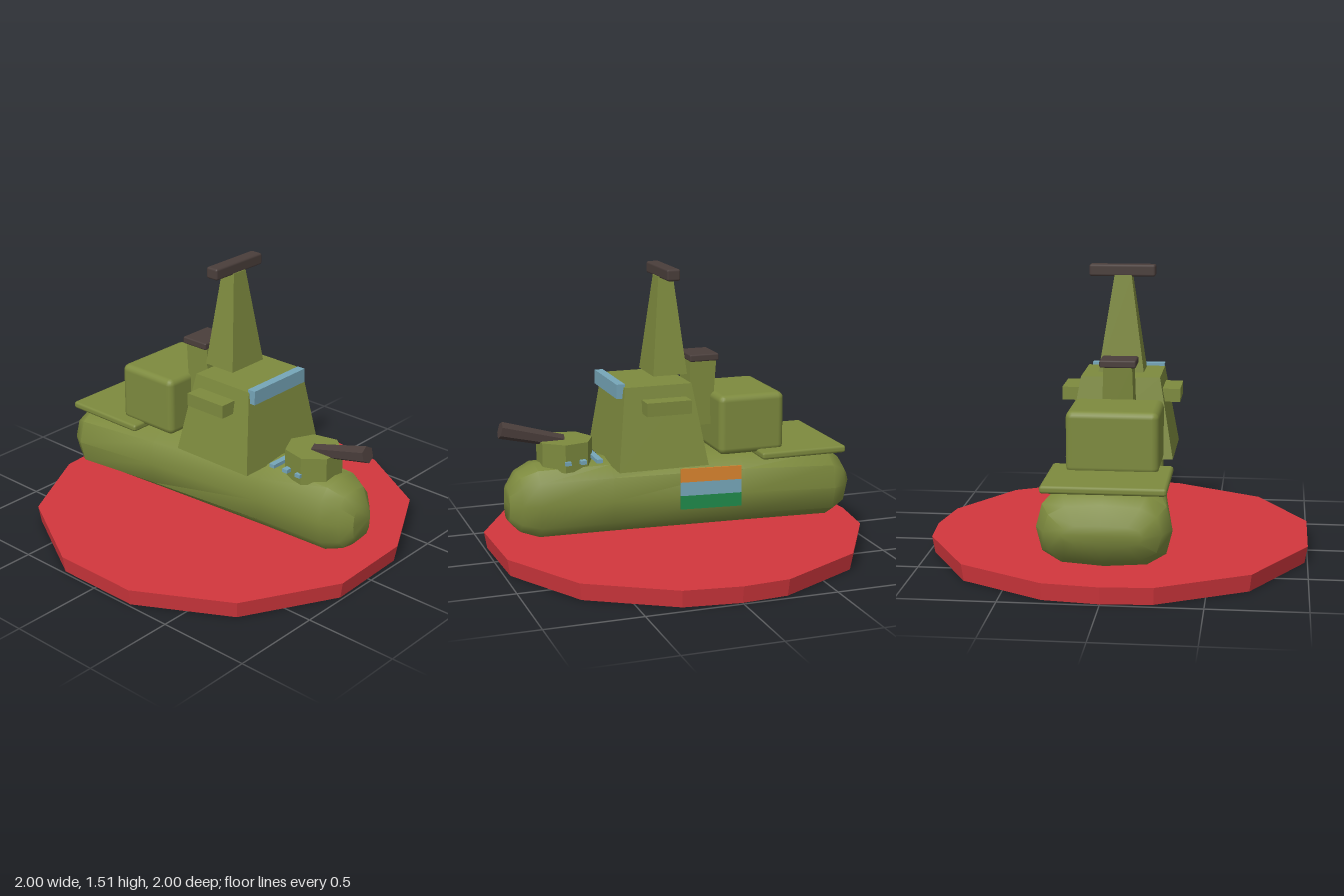
import * as THREE from 'three';
import { toCreasedNormals } from 'three/addons/utils/BufferGeometryUtils.js';
import { RoundedBoxGeometry } from 'three/addons/geometries/RoundedBoxGeometry.js';

const paint = (name, color) => Object.assign(new THREE.MeshStandardMaterial({ color }), { name });

// Tapered box: each end is [y, xMin, xMax, zMin, zMax]
function taper(bottom, top) {
  const geo = new THREE.BoxGeometry(1, 1, 1).toNonIndexed();
  const p = geo.attributes.position;
  for (let i = 0; i < p.count; i++) {
    const [y, x0, x1, z0, z1] = p.getY(i) > 0 ? top : bottom;
    p.setXYZ(i, p.getX(i) > 0 ? x1 : x0, y, p.getZ(i) > 0 ? z1 : z0);
  }
  geo.computeVertexNormals();
  return geo;
}

// Hull skin lofted through stations of [z, half width, y low, y high]
function loft(stations) {
  const quarter = [[1, 0], [0.91, 0.62], [0.63, 0.92]];
  const ring = [...quarter, [0, 1],
    ...quarter.slice(1).reverse().map(([x, y]) => [-x, y]), [-1, 0],
    ...quarter.slice(1).map(([x, y]) => [-x, -y]), [0, -1],
    ...quarter.slice(1).reverse().map(([x, y]) => [x, -y])];
  const n = ring.length, pos = [], idx = [];
  for (const [z, w, lo, hi] of stations)
    for (const [x, y] of ring) pos.push(x * w, (lo + hi) / 2 + y * (hi - lo) / 2, z);
  for (let i = 0; i < stations.length - 1; i++)
    for (let j = 0; j < n; j++) {
      const a = i * n + j, b = i * n + (j + 1) % n;
      idx.push(a, b, a + n, b, b + n, a + n);
    }
  const last = (stations.length - 1) * n;
  for (let j = 1; j < n - 1; j++) idx.push(0, j + 1, j, last, last + j, last + j + 1);
  const geo = new THREE.BufferGeometry();
  geo.setAttribute('position', new THREE.Float32BufferAttribute(pos, 3));
  geo.setIndex(idx);
  return toCreasedNormals(geo, 0.75);
}

export function createModel() {
  const model = new THREE.Group();
  model.name = 'toyWarship';
  const olive = paint('olive', 0x7d8a3e);
  const red = paint('red', 0xd2373d);
  const brown = paint('darkBrown', 0x4a3e3b);
  const blue = paint('paleBlue', 0x76a6b9);
  const orange = paint('orange', 0xd9842e);
  const green = paint('green', 0x1f8a4a);

  const add = (name, geo, mat, x = 0, y = 0, z = 0) => {
    const mesh = new THREE.Mesh(geo, mat);
    mesh.name = name;
    mesh.position.set(x, y, z);
    model.add(mesh);
    return mesh;
  };
  const box = (w, h, d) => new THREE.BoxGeometry(w, h, d);

  // Uneven faceted disc, narrower underneath
  const outline = [[0, -1], [0.29, -0.965], [0.73, -0.71], [0.98, -0.25], [1, 0], [0.96, 0.3],
    [0.7, 0.735], [0.24, 0.985], [-0.24, 1], [-0.73, 0.73], [-1, 0.25], [-1, -0.23],
    [-0.72, -0.73], [-0.26, -0.98]];
  const disc = new THREE.ExtrudeGeometry(
    new THREE.Shape(outline.map(([x, z]) => new THREE.Vector2(x, -z))),
    { depth: 0.09, bevelEnabled: false });
  disc.rotateX(-Math.PI / 2);
  const dp = disc.attributes.position;
  for (let i = 0; i < dp.count; i++)
    if (dp.getY(i) < 0.01) dp.setXYZ(i, dp.getX(i) * 0.985, 0, dp.getZ(i) * 0.985);
  disc.computeVertexNormals();
  add('base', disc, red);

  // Hull, stern to bow
  add('hull', loft([
    [-0.925, 0.2, 0.27, 0.37], [-0.87, 0.29, 0.175, 0.46], [-0.79, 0.335, 0.13, 0.51],
    [-0.3, 0.275, 0.13, 0.525], [0.4, 0.2, 0.13, 0.52], [0.78, 0.17, 0.13, 0.515],
    [0.87, 0.125, 0.16, 0.475], [0.925, 0.07, 0.22, 0.4]]), olive);

  // Aft deck and hangar
  add('aftDeck', new RoundedBoxGeometry(0.62, 0.04, 0.48, 1, 0.015), olive, 0, 0.523, -0.62);
  add('hangar', new RoundedBoxGeometry(0.47, 0.32, 0.365, 2, 0.035), olive, -0.01, 0.683, -0.352);

  // Bridge with its window band and side wings
  add('bridge', taper([0.5, -0.285, 0.285, -0.085, 0.4], [0.925, -0.21, 0.21, -0.015, 0.345]), olive);
  add('bridgeWindow', box(0.395, 0.075, 0.045), blue, -0.01, 0.903, 0.36);
  for (const s of [-1, 1]) add('bridgeWing', box(0.13, 0.07, 0.24), olive, s * 0.25, 0.825, 0.14);

  // Mast and radar bar
  add('mast', taper([0.953, -0.125, 0.115, -0.025, 0.16], [1.46, -0.055, 0.035, 0.025, 0.105]), olive);
  add('radarBar', new RoundedBoxGeometry(0.35, 0.062, 0.073, 1, 0.012), brown, -0.005, 1.483, 0.065);

  // Funnel
  add('funnel', taper([0.665, -0.09, 0.08, -0.175, -0.045], [1.015, -0.08, 0.07, -0.205, -0.06]), olive);
  add('funnelCap', new RoundedBoxGeometry(0.19, 0.038, 0.16, 1, 0.008), brown, -0.005, 1.027, -0.133);

  // Gun turret and barrel
  const turret = new THREE.CylinderGeometry(0.15, 0.15, 0.148, 7).toNonIndexed();
  turret.rotateY(Math.PI);
  turret.computeVertexNormals();
  add('turret', turret, olive, -0.005, 0.558, 0.61);
  const barrel = new THREE.CylinderGeometry(0.045, 0.035, 0.34, 6).toNonIndexed();
  barrel.computeVertexNormals();
  add('gunBarrel', barrel, brown, -0.007, 0.661, 0.785).rotation.x = Math.PI / 2 - 0.25;

  // Slats across the foredeck
  for (const z of [0.465, 0.55, 0.632]) add('deckSlat', box(0.32, 0.02, 0.032), blue, -0.005, 0.535, z);

  // Striped panel on the left side of the hull
  [green, blue, orange].forEach((mat, i) => {
    add('sidePanelStripe', box(0.008, 0.073, 0.327), mat, 0.264, 0.298 + i * 0.073, -0.107).rotation.y = -0.107 * -1;
  });
  model.children.filter((m) => m.name === 'sidePanelStripe').forEach((m) => { m.rotation.y = -0.107; });

  return model;
}
